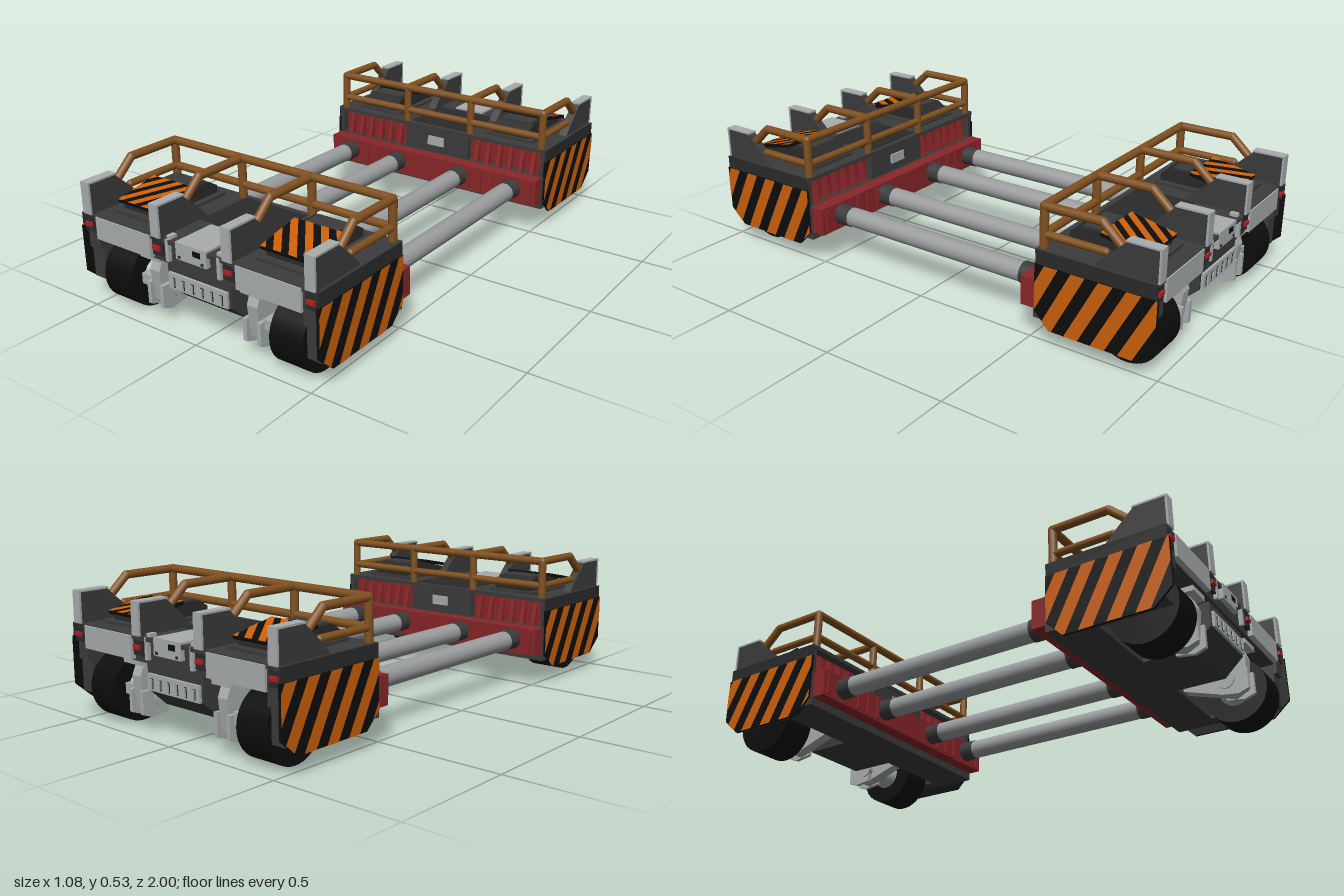
import * as THREE from 'three';

const paint = (name, color) => Object.assign(new THREE.MeshStandardMaterial({ color }), { name });
const dark = paint('charcoal body', 0x3b3b3c);
const deep = paint('dark trim', 0x2a2a2b);
const black = paint('black rubber', 0x0d0d0d);
const orange = paint('hazard orange', 0xcb600b);
const grey = paint('light grey metal', 0xa9adae);
const steel = paint('tube grey', 0x9a9c9d);
const red = paint('dark red frame', 0x8a2629);
const lamp = paint('lamp red', 0xb3201f);
const brown = paint('brown rail', 0x80501f);

function add(parent, name, geo, mat, x = 0, y = 0, z = 0) {
  const m = new THREE.Mesh(geo, mat);
  m.name = name;
  m.position.set(x, y, z);
  parent.add(m);
  return m;
}

// Box from minimum and maximum corners
function box(parent, name, mat, x0, x1, y0, y1, z0, z1) {
  return add(parent, name, new THREE.BoxGeometry(Math.abs(x1 - x0), y1 - y0, z1 - z0), mat,
    (x0 + x1) / 2, (y0 + y1) / 2, (z0 + z1) / 2);
}

// Side profile of [z, y] points, extruded across x around a centre
function profile(parent, name, mat, pts, x, width) {
  const shape = new THREE.Shape(pts.map(([z, y]) => new THREE.Vector2(-z, y)));
  const geo = new THREE.ExtrudeGeometry(shape, { depth: width, bevelEnabled: false });
  geo.translate(0, 0, -width / 2).rotateY(Math.PI / 2);
  return add(parent, name, geo, mat, x);
}

// Round bar between two points, with a ball at its end
function bar(parent, name, mat, a, b, r) {
  const A = new THREE.Vector3(...a), B = new THREE.Vector3(...b), d = B.clone().sub(A);
  const m = add(parent, name, new THREE.CylinderGeometry(r, r, d.length(), 14), mat);
  m.position.copy(A).add(B).multiplyScalar(0.5);
  m.quaternion.setFromUnitVectors(new THREE.Vector3(0, 1, 0), d.normalize());
  add(parent, name + 'Joint', new THREE.SphereGeometry(r, 14, 8), mat, ...b);
}

// Keep the part of a convex polygon where sign * (u - slope * v - c) >= 0
function clip(poly, slope, c, sign) {
  const out = [], f = p => sign * (p[0] - slope * p[1] - c);
  poly.forEach((p, i) => {
    const q = poly[(i + 1) % poly.length], a = f(p), b = f(q);
    if (a >= 0) out.push(p);
    if (a * b < 0) out.push([p[0] + (q[0] - p[0]) * a / (a - b), p[1] + (q[1] - p[1]) * a / (a - b)]);
  });
  return out;
}

// Slanted stripes filling a convex outline in the xy plane
function stripes(poly, slope, period, offset = 0) {
  const shapes = [];
  for (let i = -12; i < 13; i++) {
    const c = offset + i * period;
    const band = clip(clip(poly, slope, c, 1), slope, c + period * 0.52, -1);
    if (band.length > 2) shapes.push(new THREE.Shape(band.map(p => new THREE.Vector2(...p))));
  }
  return new THREE.ShapeGeometry(shapes);
}

function endUnit() {
  const g = new THREE.Group();

  // Hull: deck, bulkhead, middle block
  box(g, 'deck', dark, -0.53, 0.53, 0.345, 0.36, 0.535, 0.99);
  box(g, 'upperHull', dark, -0.53, 0.53, 0.265, 0.345, 0.58, 0.975);
  box(g, 'bulkhead', dark, -0.53, 0.53, 0.1, 0.265, 0.58, 0.7);
  box(g, 'rearColumn', dark, -0.16, 0.16, 0.24, 0.345, 0.54, 0.58);
  box(g, 'lowerRear', dark, -0.53, 0.53, 0.1, 0.24, 0.53, 0.58);
  profile(g, 'middleBlock', dark, [[0.7, 0.1], [0.89, 0.1], [0.965, 0.17], [0.965, 0.27], [0.7, 0.27]], 0, 0.29);
  box(g, 'deckPanel', deep, -0.14, 0.14, 0.36, 0.363, 0.56, 0.8);
  box(g, 'rearPlate', grey, -0.04, 0.04, 0.275, 0.315, 0.532, 0.54);

  // Ribbed grille
  box(g, 'grille', grey, -0.135, 0.135, 0.17, 0.23, 0.965, 0.975);
  for (let i = 0; i < 6; i++) {
    const x = -0.11 + i * 0.044;
    box(g, 'grilleSlot', deep, x - 0.006, x + 0.006, 0.178, 0.215, 0.975, 0.977);
    box(g, 'grilleRib', grey, x - 0.003, x + 0.003, 0.18, 0.213, 0.975, 0.983);
  }

  // Control box on the nose
  box(g, 'controlBox', grey, -0.072, 0.068, 0.305, 0.368, 0.82, 0.993);
  box(g, 'controlScreen', black, 0.008, 0.042, 0.335, 0.355, 0.993, 0.995);
  box(g, 'controlLatch', deep, -0.06, -0.05, 0.31, 0.32, 0.993, 0.996);
  box(g, 'controlLatch', deep, 0.045, 0.055, 0.31, 0.32, 0.993, 0.996);

  // Red cross beam with ribs
  box(g, 'crossBeam', red, -0.525, 0.525, 0.13, 0.24, 0.475, 0.535);
  for (let i = 0; i < 18; i++) {
    const x = -0.5 + i / 17;
    if (Math.abs(x) > 0.2 && Math.abs(Math.abs(x) - 0.415) > 0.05)
      box(g, 'beamRib', red, x - 0.006, x + 0.006, 0.14, 0.23, 0.467, 0.475);
  }

  for (const s of [-1, 1]) {
    // Red wall panel with gussets
    box(g, 'redWall', red, s * 0.16, s * 0.51, 0.24, 0.345, 0.572, 0.58);
    box(g, 'rearCorner', dark, s * 0.51, s * 0.53, 0.24, 0.345, 0.54, 0.58);
    for (let i = 0; i < 6; i++)
      profile(g, 'gusset', red, [[0.575, 0.24], [0.54, 0.24], [0.562, 0.335], [0.575, 0.335]], s * (0.2 + i * 0.054), 0.016);

    // Striped side skirt
    const outline = [[1, 0.31], [1, 0.13], [0.93, 0.068], [0.6, 0.068], [0.538, 0.13], [0.538, 0.31]];
    profile(g, 'sideSkirt', black, outline, s * 0.532, 0.01);
    const flat = outline.map(([z, y]) => [-s * z, y]);
    const paintwork = add(g, 'skirtStripes', stripes(flat, 0.52, 0.104), orange, s * 0.5385);
    paintwork.rotation.y = s * Math.PI / 2;
    box(g, 'sideWall', dark, s * 0.465, s * 0.527, 0.1, 0.345, 0.58, 0.97);
    box(g, 'sideSill', deep, s * 0.527, s * 0.535, 0.31, 0.36, 0.54, 0.995);
    box(g, 'sideLine', dark, s * 0.465, s * 0.52, 0.225, 0.36, 0.97, 0.985);

    // Front bumper plate
    box(g, 'bumper', grey, s * 0.195, s * 0.465, 0.272, 0.357, 0.975, 0.995);
    box(g, 'noseBracket', grey, s * 0.11, s * 0.125, 0.28, 0.36, 0.975, 0.99);
    box(g, 'deckClip', grey, s * 0.105, s * 0.125, 0.36, 0.372, 0.95, 0.98);

    // Wheel and hub
    const tyre = add(g, 'tyre', new THREE.CylinderGeometry(0.127, 0.127, 0.135, 40), black, s * 0.388, 0.127, 0.858);
    tyre.rotation.z = Math.PI / 2;
    const hub = add(g, 'hub', new THREE.CylinderGeometry(0.065, 0.035, 0.06, 16), grey, s * 0.295, 0.127, 0.858);
    hub.rotation.z = -s * Math.PI / 2;
    const axle = add(g, 'axle', new THREE.CylinderGeometry(0.035, 0.035, 0.14, 16), grey, s * 0.25, 0.115, 0.875);
    axle.rotation.z = Math.PI / 2;

    // Suspension arm and knuckle
    profile(g, 'suspensionArm', grey,
      [[0.93, 0.26], [0.955, 0.2], [0.94, 0.08], [0.89, 0.055], [0.66, 0.13], [0.66, 0.2], [0.82, 0.25]], s * 0.225, 0.045);
    for (const x of [0.194, 0.255])
      profile(g, 'armCheek', grey, [[0.96, 0.15], [0.96, 0.065], [0.92, 0.05], [0.85, 0.06], [0.84, 0.15]], s * x, 0.016);
    box(g, 'armMount', grey, s * 0.185, s * 0.28, 0.245, 0.272, 0.83, 0.965);
    profile(g, 'steeringLink', grey, [[0.94, 0.16], [0.94, 0.12], [0.9, 0.1], [0.86, 0.16]], s * 0.285, 0.05);

    // Engine cover with a striped sloping pad
    const cx = s * 0.333;
    profile(g, 'engineCover', deep, [[0.6, 0.36], [0.6, 0.4], [0.64, 0.425], [0.73, 0.425], [0.9, 0.385], [0.9, 0.36]], cx, 0.17);
    box(g, 'coverBase', dark, cx - 0.11, cx + 0.11, 0.36, 0.372, 0.585, 0.93);
    box(g, 'coverHatch', dark, cx - 0.07, cx + 0.07, 0.425, 0.43, 0.645, 0.715);
    const pad = new THREE.Group();
    pad.name = 'stripedPad';
    pad.position.set(cx, 0.413, 0.817);
    pad.rotation.x = -Math.PI / 2 + 0.2;
    const w = 0.106, h = 0.09;
    const rect = [[-w, -h], [w, -h], [w, h], [-w, h]];
    add(pad, 'padPlate', new THREE.BoxGeometry(2 * w, 2 * h, 0.012), black);
    add(pad, 'padStripes', stripes(rect, -s * 0.75, 0.064, 0.01), orange, 0, 0, 0.0075);
    g.add(pad);

    for (const px of [0.162, 0.503]) {
      // Upright fin with grey cap
      const x = s * px;
      profile(g, 'fin', dark, [[0.992, 0.36], [0.992, 0.475], [0.875, 0.475], [0.79, 0.395], [0.76, 0.36]], x, 0.036);
      box(g, 'finFront', grey, x - 0.02, x + 0.02, 0.36, 0.48, 0.99, 0.998);
      box(g, 'finTop', grey, x - 0.02, x + 0.02, 0.474, 0.481, 0.87, 0.998);
      box(g, 'lampHousing', deep, x - 0.024, x + 0.024, 0.29, 0.36, 0.975, 0.99);
      box(g, 'tailLamp', lamp, x - 0.016, x + 0.016, 0.313, 0.328, 0.99, 0.999);

      // Rail hoop
      const hoop = [[0.86, 0.435], [0.775, 0.512], [0.553, 0.512], [0.553, 0.36]];
      for (let i = 0; i < 3; i++)
        bar(g, 'railHoop', brown, [x, hoop[i][1], hoop[i][0]], [x, hoop[i + 1][1], hoop[i + 1][0]], 0.016);
      if (px > 0.4) bar(g, 'sideRail', brown, [x, 0.41, 0.553], [x, 0.41, 0.79], 0.014);
    }
  }

  // Cross rails
  bar(g, 'topRail', brown, [-0.503, 0.512, 0.553], [0.503, 0.512, 0.553], 0.016);
  bar(g, 'midRail', brown, [-0.503, 0.41, 0.553], [0.503, 0.41, 0.553], 0.015);
  return g;
}

export function createModel() {
  const model = new THREE.Group();
  model.name = 'modularTransporter';

  const front = endUnit();
  front.name = 'frontUnit';
  const back = endUnit();
  back.name = 'backUnit';
  back.rotation.y = Math.PI;
  model.add(front, back);

  // Linking tubes with dark end sleeves
  for (const x of [-0.415, -0.16, 0.16, 0.415]) {
    add(model, 'linkTube', new THREE.CylinderGeometry(0.039, 0.039, 0.9, 28), steel, x, 0.19).rotation.x = Math.PI / 2;
    for (const s of [-1, 1])
      add(model, 'tubeSleeve', new THREE.CylinderGeometry(0.042, 0.042, 0.07, 28), dark, x, 0.19, s * 0.45).rotation.x = Math.PI / 2;
  }
  return model;
}
